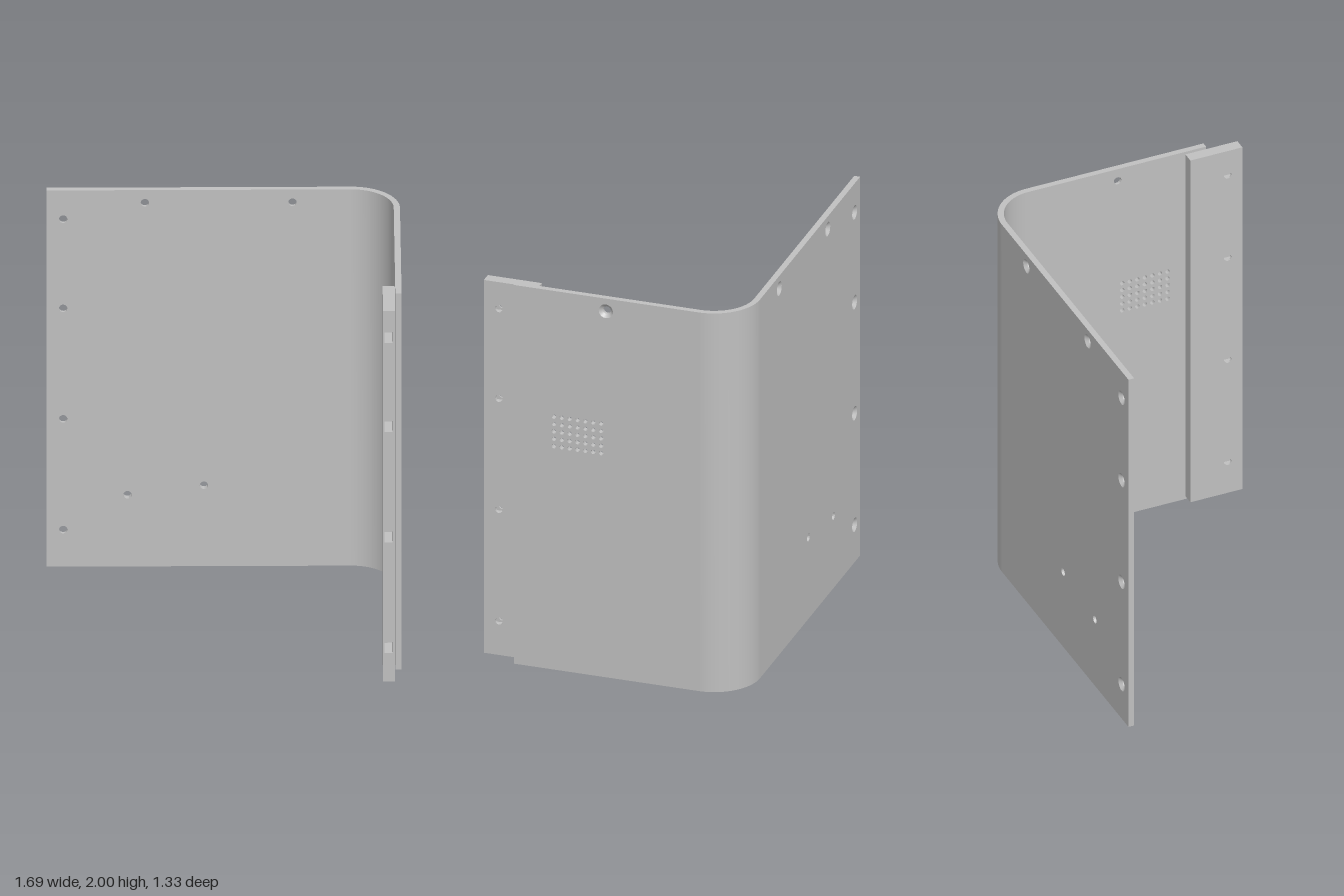
import * as THREE from 'three';
import { toCreasedNormals } from 'three/addons/utils/BufferGeometryUtils.js';

const T = 0.03;             // sheet thickness
const HOLE = 0.02, SINK = 0.036;
const SCREW_Y = [0.197, 0.786, 1.373, 1.847];

export function createModel() {
  const model = new THREE.Group();
  const steel = new THREE.MeshStandardMaterial({ color: 0xc0c0c0 });
  steel.name = 'grey steel';

  const add = (geometry, name, parent = model) => {
    const mesh = new THREE.Mesh(geometry, steel);
    mesh.name = name;
    parent.add(mesh);
    return mesh;
  };

  const outline = (points) => new THREE.Shape(points.map(([x, y]) => new THREE.Vector2(x, y)));
  const rect = (x0, y0, x1, y1) => outline([[x0, y0], [x1, y0], [x1, y1], [x0, y1]]);

  // Plate cut from an outline, with round holes given as [x, y, radius]
  const plate = (shape, holes, depth, offset) => {
    for (const [x, y, r] of holes) {
      const path = new THREE.Path();
      path.absarc(x, y, r, 0, Math.PI * 2, true);
      shape.holes.push(path);
    }
    const g = new THREE.ExtrudeGeometry(shape, { depth, bevelEnabled: false, curveSegments: 14 });
    return toCreasedNormals(g.translate(0, 0, offset), 0.6);
  };

  // Inward-facing cone of a countersunk hole, opening towards +y
  const sink = () => new THREE.LatheGeometry(
    [new THREE.Vector2(SINK, 0), new THREE.Vector2(HOLE, -T / 2)], 28);

  const withRadius = (list, r) => list.map(([x, y]) => [x, y, r]);

  // Back panel: inner and outer halves of the sheet
  const backSunk = [...SCREW_Y.map((y) => [-0.765, y]), [-0.375, 1.933], [0.33, 1.933]];
  const backPlain = withRadius([[-0.458, 0.381], [-0.093, 0.43]], HOLE);
  const back = new THREE.Group();
  back.name = 'backPanel';
  back.position.z = -0.664;
  model.add(back);
  add(plate(rect(-0.845, 0, 0.61, 2), [...withRadius(backSunk, SINK), ...backPlain], T / 2, 0), 'backOuterSheet', back);
  add(plate(rect(-0.845, 0, 0.61, 2), [...withRadius(backSunk, HOLE), ...backPlain], T / 2, T / 2), 'backInnerSheet', back);
  for (const [x, y] of backSunk) {
    add(sink().rotateX(-Math.PI / 2), 'backCountersink', back).position.set(x, y, 0);
  }

  // Rounded corner bend
  const R = 0.232;
  const bend = new THREE.Shape();
  bend.absarc(0.61, 0.432, R, 0, Math.PI / 2, false);
  bend.absarc(0.61, 0.432, R - T, Math.PI / 2, 0, true);
  const bendGeometry = new THREE.ExtrudeGeometry(bend, { depth: 2, bevelEnabled: false, curveSegments: 28 });
  add(toCreasedNormals(bendGeometry.rotateX(-Math.PI / 2), 0.6), 'cornerBend');

  // Side panel, drawn with shape x = -z, then turned to face +x
  const side = new THREE.Group();
  side.name = 'sidePanel';
  side.rotation.y = Math.PI / 2;
  side.position.x = 0.842 - T;
  model.add(side);
  const grille = [];
  for (let i = 0; i < 7; i++) {
    for (let j = 0; j < 5; j++) grille.push([-0.059 - i * 0.0397, 1.18 + j * 0.039, 0.0115]);
  }
  add(plate(rect(-0.5, 0, 0.432, 2), [[-0.035, 1.933, HOLE], ...grille], T / 2, 0), 'sideInnerSheet', side);
  add(plate(rect(-0.5, 0, 0.432, 2), [[-0.035, 1.933, SINK], ...grille], T / 2, T / 2), 'sideOuterSheet', side);
  add(sink().rotateX(Math.PI / 2), 'sideCountersink', side).position.set(-0.035, 1.933, T);

  // Fixing strip: two drilled faces around a core notched for captive nuts
  const strip = new THREE.Group();
  strip.name = 'fixingStrip';
  strip.rotation.y = Math.PI / 2;
  strip.position.x = 0.752;
  model.add(strip);
  const front = -0.663, rear = -0.39, low = 0.018, high = 1.987;
  const screws = SCREW_Y.map((y) => [-0.586, y, 0.019]);
  add(plate(rect(front, low, rear, high), screws, 0.008, 0), 'stripInnerFace', strip);
  add(plate(rect(front, low, rear, high), screws, 0.014, 0.044), 'stripOuterFace', strip);
  const core = [[front, low], [rear, low], [rear, high], [front, high]];
  for (const y of [...SCREW_Y].reverse()) {
    core.push([front, y + 0.029], [-0.55, y + 0.029], [-0.55, y - 0.029], [front, y - 0.029]);
  }
  add(plate(outline(core), [], 0.036, 0.008), 'stripSlottedCore', strip);

  return model;
}
